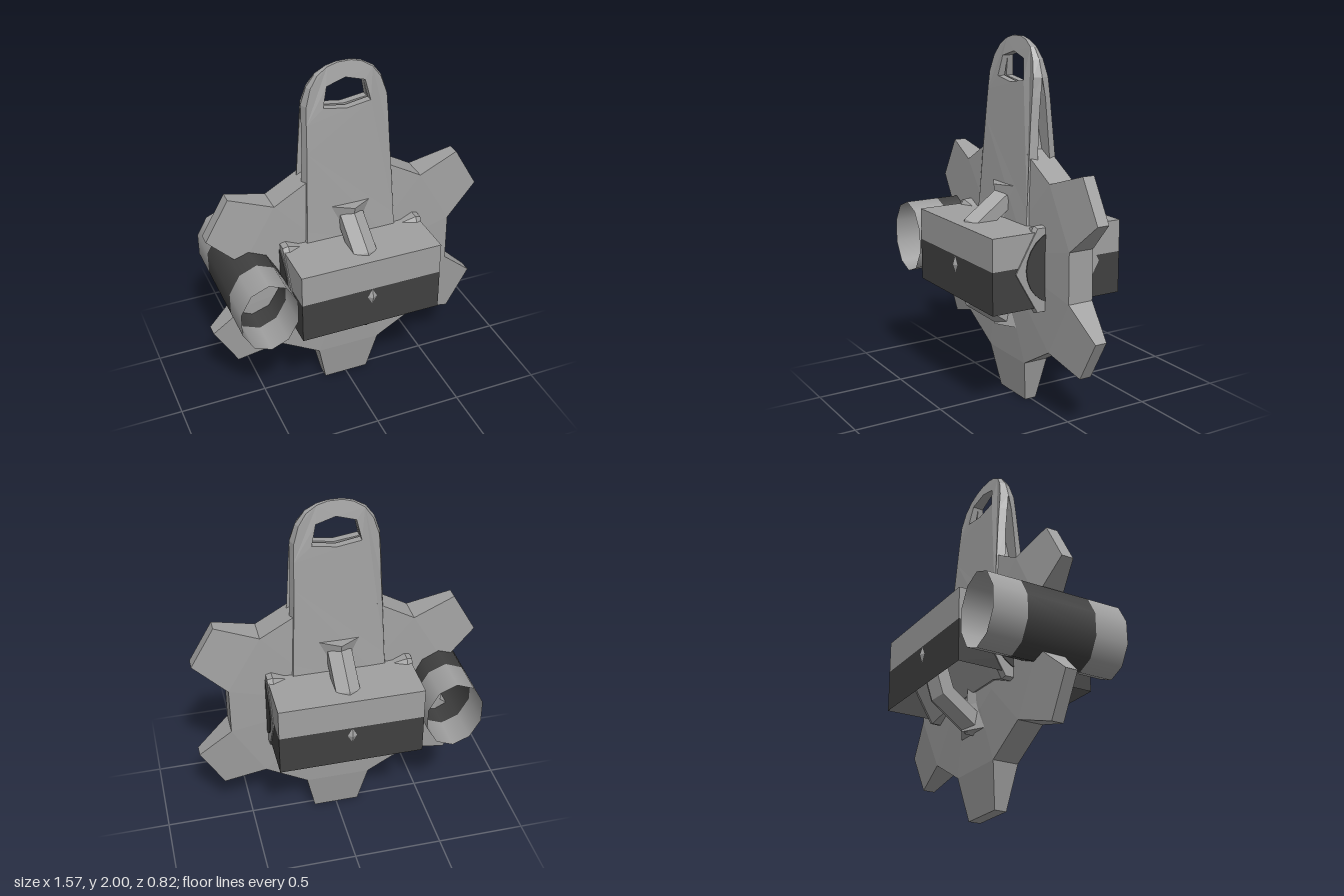
import * as THREE from 'three';

const light = new THREE.MeshStandardMaterial({ color: 0xa0a0a0, side: THREE.DoubleSide });
light.name = 'light grey';
const dark = new THREE.MeshStandardMaterial({ color: 0x404040, side: THREE.DoubleSide });
dark.name = 'dark grey';
const CY = 0.83; // height of the wheel axis

export function createModel() {
  const model = new THREE.Group();
  const add = (name, geo, mat = light, x = 0, y = 0, z = 0) => {
    const mesh = new THREE.Mesh(geo, mat);
    mesh.name = name;
    mesh.position.set(x, y, z);
    model.add(mesh);
    return mesh;
  };
  const flat = (geo) => {
    const g = geo.index ? geo.toNonIndexed() : geo;
    g.computeVertexNormals();
    return g;
  };

  // Six-toothed wheel, thinning towards the tooth tips
  const tris = [];
  const polar = (r, a, z) => [r * Math.cos(a), r * Math.sin(a), z];
  const quad = (a, b, c, d) => tris.push(...a, ...b, ...c, ...a, ...c, ...d);
  const tooth = (a, s) => ({
    hub: [polar(0.3, a - 0.3, 0.095 * s), polar(0.3, a + 0.3, 0.095 * s)],
    root: [polar(0.617, a - 0.3, 0.073 * s), polar(0.617, a + 0.3, 0.073 * s)],
    tip: [polar(0.84, a - 0.156, 0.034 * s), polar(0.84, a + 0.156, 0.034 * s)],
  });
  for (let i = 0; i < 6; i++) {
    const a = Math.PI / 6 + i * Math.PI / 3;
    const f = tooth(a, 1), b = tooth(a, -1);
    const fn = tooth(a + Math.PI / 3, 1), bn = tooth(a + Math.PI / 3, -1);
    quad(f.hub[0], f.root[0], f.root[1], f.hub[1]);
    quad(f.root[0], f.tip[0], f.tip[1], f.root[1]);
    quad(f.hub[1], f.root[1], fn.root[0], fn.hub[0]);
    quad(b.hub[1], b.root[1], b.root[0], b.hub[0]);
    quad(b.root[1], b.tip[1], b.tip[0], b.root[0]);
    quad(bn.hub[0], bn.root[0], b.root[1], b.hub[1]);
    quad(b.root[0], b.tip[0], f.tip[0], f.root[0]);
    quad(b.tip[0], b.tip[1], f.tip[1], f.tip[0]);
    quad(b.tip[1], b.root[1], f.root[1], f.tip[1]);
    quad(b.root[1], bn.root[0], fn.root[0], f.root[1]);
    const cf = [0, 0, 0.1], cb = [0, 0, -0.1];
    tris.push(...cf, ...f.hub[0], ...f.hub[1], ...cf, ...f.hub[1], ...fn.hub[0]);
    tris.push(...cb, ...b.hub[1], ...b.hub[0], ...cb, ...bn.hub[0], ...b.hub[1]);
  }
  const wheel = new THREE.BufferGeometry();
  wheel.setAttribute('position', new THREE.Float32BufferAttribute(tris, 3));
  add('toothedWheel', flat(wheel), light, 0, CY, 0);

  // Tapering handle: two cheeks that close above the top tooth
  const half = [[0.28, 0.9], [0.265, 1.1], [0.255, 1.35], [0.245, 1.55], [0.24, 1.7], [0.235, 1.8],
    [0.205, 1.89], [0.16, 1.95], [0.1, 1.985], [0.04, 2]];
  const outline = [...half, ...half.slice().reverse().map(([x, y]) => [-x, y])];
  const vec = (list) => list.map(([x, y]) => new THREE.Vector2(x, y));
  const cheek = new THREE.Shape(vec(outline));
  cheek.holes.push(new THREE.Path(vec([[0, 1.76], [-0.13, 1.78], [-0.105, 1.89], [0, 1.92], [0.105, 1.89], [0.13, 1.78]])));
  const lerpTable = (table, y) => {
    for (let i = 1; i < table.length; i++) {
      const [y0, v0] = table[i - 1], [y1, v1] = table[i];
      if (y <= y1) return THREE.MathUtils.mapLinear(y, y0, y1, v0, v1);
    }
    return table[table.length - 1][1];
  };
  const outer = [[0.9, 0.12], [1.1, 0.1], [1.4, 0.08], [1.65, 0.06], [1.8, 0.045], [1.9, 0.03], [2, 0.008]];
  const inner = [[0.9, 0.06], [1.4, 0.035], [1.65, 0.022], [1.77, 0.008], [1.8, 0]];
  for (const side of [0, 1]) {
    const g = new THREE.ExtrudeGeometry(cheek, { depth: 1, bevelEnabled: false });
    const p = g.attributes.position;
    for (let i = 0; i < p.count; i++) {
      const x = p.getX(i), y = p.getY(i), out = p.getZ(i) > 0.5;
      p.setZ(i, lerpTable(out ? outer : inner, y));
      const onHole = Math.abs(x) < 0.14 && y < 1.93;
      if (out && !onHole) p.setX(i, x * 0.94);
    }
    add(side ? 'handleBack' : 'handleFront', flat(g)).rotation.y = side * Math.PI;
  }

  // Two-tone housing, open underneath
  const W = 0.395, TOP = 1.035, SPLIT = 0.86, LOW = 0.63;
  const wall = (name, y0, y1, mat) => {
    for (let i = 0; i < 4; i++) {
      const g = new THREE.PlaneGeometry(2 * W, y1 - y0).translate(0, (y0 + y1) / 2, W);
      add(name, g.rotateY(i * Math.PI / 2), mat);
    }
  };
  wall('housingUpperWall', SPLIT, TOP, light);
  wall('housingLowerWall', LOW, SPLIT, dark);
  add('housingTop', new THREE.PlaneGeometry(2 * W, 2 * W).rotateX(-Math.PI / 2), light, 0, TOP, 0);

  // Six-sided flared hubs, one across and one upright
  const spool = (rim, waist) => flat(new THREE.LatheGeometry(
    vec([[0, -0.4], [rim * 0.96, -0.4], [rim, -0.37], [waist, -0.24], [waist, 0.24], [rim, 0.37], [rim * 0.96, 0.4], [0, 0.4]]), 6));
  add('crossHub', spool(0.27, 0.21), light, 0, CY, 0).rotation.z = Math.PI / 2;
  const upright = flat(new THREE.LatheGeometry(
    vec([[0, -0.395], [0.155, -0.395], [0.125, -0.24], [0.115, 0], [0.125, 0.24], [0.155, 0.395], [0, 0.395]]), 6));
  add('uprightHub', upright, light, 0, 0.825, 0);
  for (const s of [-1, 1]) {
    add('hubEndDisc', new THREE.CylinderGeometry(0.2, 0.2, 0.008, 24).rotateZ(Math.PI / 2), dark, s * 0.401, 0.84, 0);
  }

  // Ridged ring looping through the housing
  add('ridgedRing', flat(new THREE.TorusGeometry(0.335, 0.075, 6, 10).rotateY(Math.PI / 2)), light, 0, 0.81, 0);

  // Open side tube with a dark middle band
  const tube = (name, z0, z1, mat) => {
    const g = new THREE.CylinderGeometry(0.16, 0.16, z1 - z0, 10, 1, true).rotateX(Math.PI / 2).scale(1, 1.28, 1);
    add(name, g, mat, -0.57, 0.835, (z0 + z1) / 2);
  };
  tube('tubeFrontEnd', 0.2, 0.395, light);
  tube('tubeBand', -0.2, 0.2, dark);
  tube('tubeBackEnd', -0.395, -0.2, light);

  return model;
}
